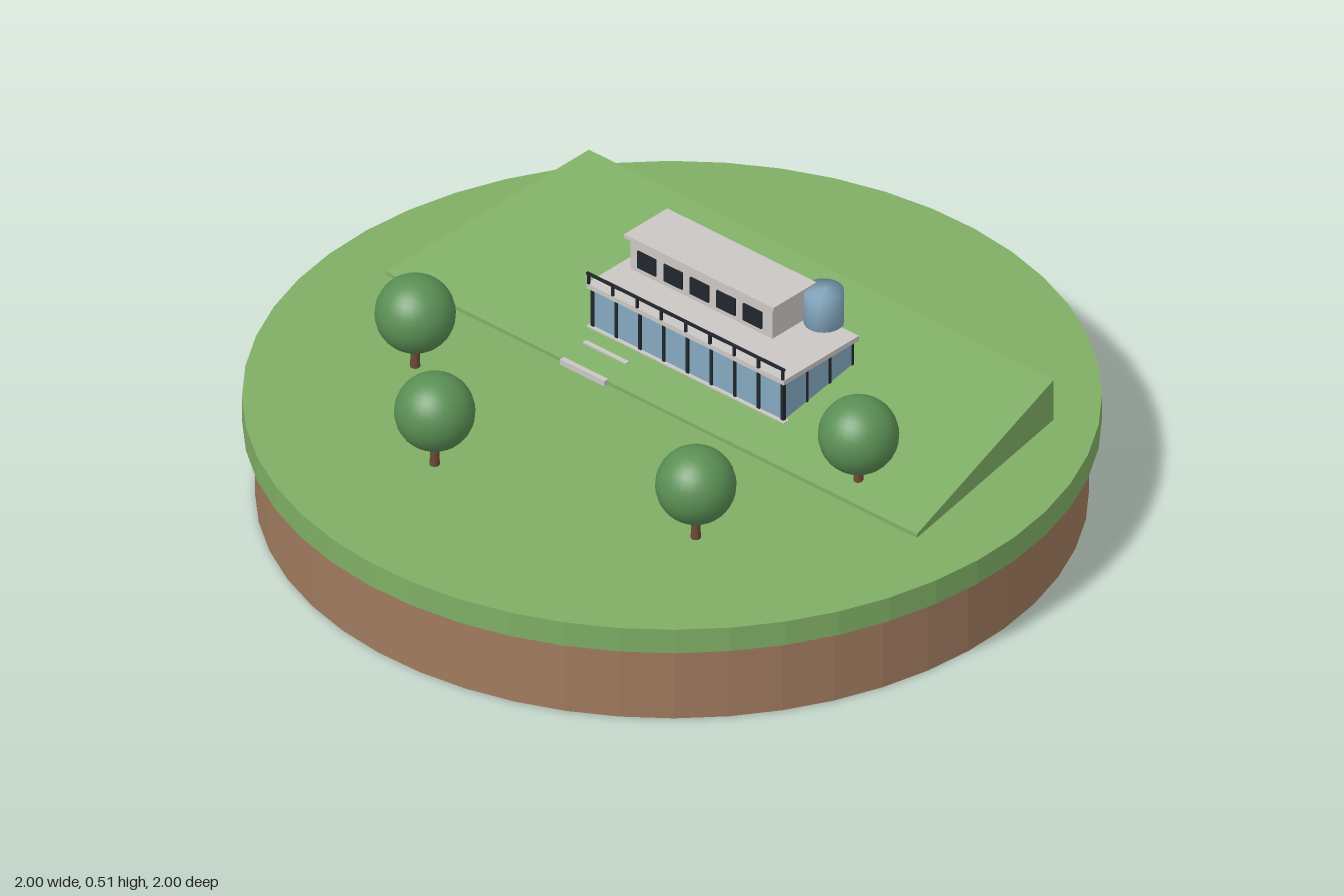
import * as THREE from 'three';
import { mergeVertices } from 'three/addons/utils/BufferGeometryUtils.js';

function makeMaterial(name, color) {
  const m = new THREE.MeshStandardMaterial({ color });
  m.name = name;
  return m;
}

// Faceted normals
function flat(geometry) {
  const g = geometry.toNonIndexed();
  g.computeVertexNormals();
  return g;
}

// Normals blended across every edge
function soft(geometry) {
  geometry.deleteAttribute('normal');
  geometry.deleteAttribute('uv');
  const g = mergeVertices(geometry);
  g.computeVertexNormals();
  return g;
}

function add(parent, name, geometry, material, x = 0, y = 0, z = 0) {
  const mesh = new THREE.Mesh(geometry, material);
  mesh.name = name;
  mesh.position.set(x, y, z);
  parent.add(mesh);
  return mesh;
}

// Box given by its centre in x and z, and its bottom and top
function block(parent, name, material, x, z, width, depth, bottom, top) {
  return add(parent, name, new THREE.BoxGeometry(width, top - bottom, depth), material, x, (bottom + top) / 2, z);
}

export function createModel() {
  const grass = makeMaterial('grass green', 0x7fae65);
  const soil = makeMaterial('soil brown', 0xa07a5e);
  const leaf = makeMaterial('leaf green', 0x5a8f54);
  const bark = makeMaterial('bark brown', 0x6e4a36);
  const plaster = makeMaterial('pale plaster', 0xcbc7c3);
  const glass = makeMaterial('blue glass', 0x84a8c0);
  const frame = makeMaterial('dark frame', 0x20262c);

  const model = new THREE.Group();
  model.name = 'hillsideHouse';

  // Round base
  add(model, 'soilBase', flat(new THREE.CylinderGeometry(0.97, 0.97, 0.2, 48)), soil, 0, 0.1, 0);
  add(model, 'lawn', flat(new THREE.CylinderGeometry(1, 1, 0.065, 48)), grass, 0, 0.2325, 0);

  // Hill and house share one turned frame
  const site = new THREE.Group();
  site.name = 'site';
  site.position.set(0.058, 0, -0.17);
  site.rotation.y = -0.35;
  model.add(site);

  // Sloping hill: a box with a low, wide front and a high, narrower back
  const hillGeometry = new THREE.BoxGeometry(2, 2, 2);
  const p = hillGeometry.attributes.position;
  for (let i = 0; i < p.count; i++) {
    const front = p.getZ(i) > 0;
    const upper = p.getY(i) > 0;
    p.setXYZ(
      i,
      Math.sign(p.getX(i)) * (front ? 0.834 : 0.73),
      upper ? (front ? 0.275 : 0.375) : 0.26,
      front ? 0.247 : -0.341
    );
  }
  add(site, 'hill', flat(hillGeometry), grass);

  // Ground floor
  const house = new THREE.Group();
  house.name = 'house';
  site.add(house);
  block(house, 'floorSlab', plaster, 0, 0, 0.62, 0.26, 0.28, 0.298);
  block(house, 'groundFloorGlass', glass, 0, 0, 0.6, 0.24, 0.297, 0.402);
  block(house, 'terraceSlab', plaster, 0, 0, 0.62, 0.26, 0.402, 0.415);

  // Window bars on the front and both ends
  for (let i = 0; i < 9; i++) {
    block(house, 'frontBar', frame, -0.298 + i * 0.0745, 0.12, 0.008, 0.008, 0.297, 0.402);
  }
  for (const side of [-1, 1]) {
    for (let i = 0; i < 4; i++) {
      block(house, 'endBar', frame, side * 0.3, -0.118 + i * 0.0787, 0.006, 0.006, 0.297, 0.402);
    }
  }

  // Terrace railing
  block(house, 'handrail', frame, 0, 0.128, 0.62, 0.006, 0.44, 0.446);
  for (let i = 0; i < 9; i++) {
    block(house, 'railPost', frame, -0.305 + i * 0.07625, 0.128, 0.006, 0.006, 0.415, 0.442);
  }

  // Upper floor with a row of windows
  block(house, 'upperWalls', plaster, -0.053, -0.05, 0.445, 0.13, 0.415, 0.5);
  block(house, 'upperRoof', plaster, -0.053, -0.05, 0.469, 0.149, 0.5, 0.51);
  for (let i = 0; i < 5; i++) {
    block(house, 'upperWindow', frame, -0.223 + i * 0.083, 0.0165, 0.058, 0.006, 0.43, 0.476);
  }

  // Round glass stair tower
  add(house, 'glassTower', soft(new THREE.CylinderGeometry(0.047, 0.047, 0.093, 24)), glass, 0.209, 0.4585, -0.119);

  // Garden steps
  block(site, 'upperStep', plaster, -0.208, 0.174, 0.136, 0.011, 0.28, 0.291);
  block(site, 'lowerStep', plaster, -0.207, 0.251, 0.14, 0.013, 0.265, 0.28);

  // Trees
  const trunkGeometry = new THREE.CylinderGeometry(0.01, 0.012, 0.08, 10);
  const crownGeometry = new THREE.SphereGeometry(0.095, 28, 18);
  for (const [x, z] of [[-0.6, 0.11], [-0.4, 0.48], [0.28, 0.54], [0.55, 0.2]]) {
    const tree = new THREE.Group();
    tree.name = 'tree';
    tree.position.set(x, 0, z);
    add(tree, 'trunk', trunkGeometry, bark, 0, 0.304, 0);
    add(tree, 'crown', crownGeometry, leaf, 0, 0.412, 0);
    model.add(tree);
  }

  return model;
}
